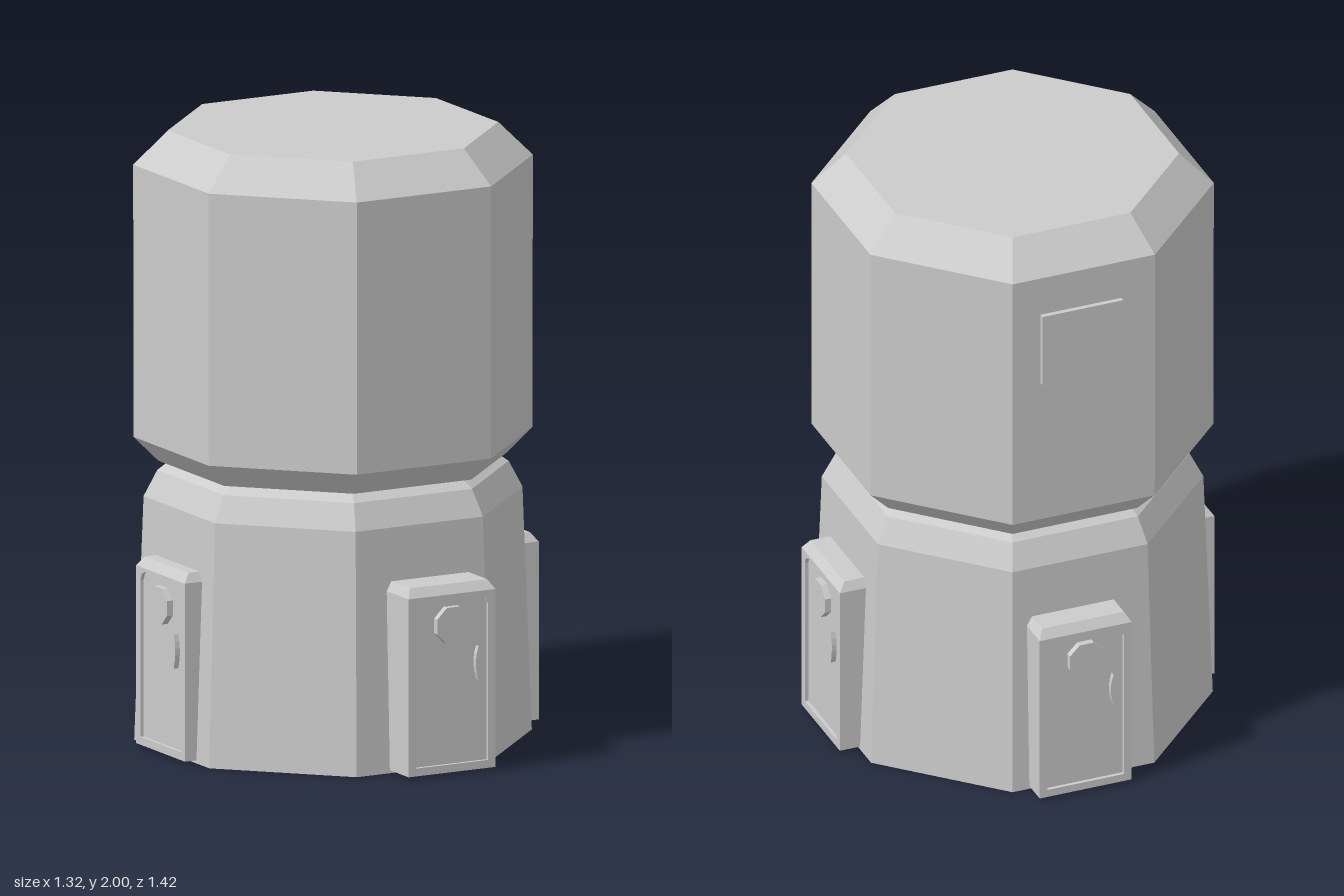
import * as THREE from 'three';

const material = new THREE.MeshStandardMaterial({ color: 0xcccccc, flatShading: true });

function part(parent, name, geometry, x = 0, y = 0, z = 0) {
  const mesh = new THREE.Mesh(geometry, material);
  mesh.name = name;
  mesh.position.set(x, y, z);
  parent.add(mesh);
  return mesh;
}

// Closed octagonal solid from [apothem, height] rings, flat sides facing the axes
function octagonStack(rings) {
  const k = 1 / Math.cos(Math.PI / 8);
  const points = rings.map(([a, y]) => new THREE.Vector2(a * k, y));
  return new THREE.LatheGeometry(points, 8, Math.PI / 8);
}

// Door porch; local z = 0 is the front plane of the frame
const W = 0.32, BOTTOM = 0.01, EAVES = 0.595, TOP = 0.625, DEPTH = 0.22, RECESS = 0.012;

function makeDoor() {
  const door = new THREE.Group();
  const h = EAVES - BOTTOM, mid = (EAVES + BOTTOM) / 2;

  // Solid porch behind the recessed door panel
  part(door, 'doorPanel', new THREE.BoxGeometry(W, h, DEPTH - RECESS), 0, mid, -(DEPTH + RECESS) / 2);

  // Frame around the panel, opening clipped at its top corners
  const frame = new THREE.Shape([[-W / 2, BOTTOM], [W / 2, BOTTOM], [W / 2, EAVES], [-W / 2, EAVES]]
    .map(([x, y]) => new THREE.Vector2(x, y)));
  const w = 0.133, t = 0.583, b = 0.036, c = 0.032;
  frame.holes.push(new THREE.Path([[-w, b], [-w, t - c], [-w + c * 0.3, t - c * 0.3], [-w + c, t],
    [w - c, t], [w - c * 0.3, t - c * 0.3], [w, t - c], [w, b]].map(([x, y]) => new THREE.Vector2(x, y))));
  part(door, 'doorFrame', new THREE.ExtrudeGeometry(frame, { depth: RECESS, bevelEnabled: false }), 0, 0, -RECESS);

  // Roof with bevelled front and sides
  const roof = new THREE.BoxGeometry(W, TOP - EAVES, DEPTH);
  const p = roof.attributes.position;
  for (let i = 0; i < p.count; i++) {
    if (p.getY(i) < 0) continue;
    p.setX(i, p.getX(i) - Math.sign(p.getX(i)) * 0.018);
    if (p.getZ(i) > 0) p.setZ(i, p.getZ(i) - 0.023);
  }
  part(door, 'doorRoof', roof, 0, (TOP + EAVES) / 2, -DEPTH / 2);

  // Octagonal porthole
  const port = new THREE.CylinderGeometry(0.064, 0.064, 0.024, 8, 1, false, Math.PI / 8);
  part(door, 'porthole', port.rotateX(Math.PI / 2), 0, 0.495, -0.002);

  // Lens-shaped handle
  const lens = new THREE.Shape();
  lens.moveTo(0, -0.056);
  lens.quadraticCurveTo(0.02, 0, 0, 0.056);
  lens.quadraticCurveTo(-0.02, 0, 0, -0.056);
  part(door, 'doorHandle',
    new THREE.ExtrudeGeometry(lens, { depth: 0.02, bevelEnabled: false, curveSegments: 5 }), 0.095, 0.36, -0.015);
  return door;
}

export function createModel() {
  const model = new THREE.Group();
  model.name = 'octagonalTower';
  const cx = -0.016, cz = -0.022;

  // Tapered base and wider drum above it
  part(model, 'towerBase', octagonStack([[0, 0], [0.594, 0], [0.566, 0.8], [0.525, 0.885], [0.485, 0.915], [0, 0.915]]), cx, 0, cz);
  part(model, 'upperDrum', octagonStack([[0, 0.915], [0.522, 0.915], [0.596, 0.995], [0.597, 1.89], [0.494, 2], [0, 2]]), cx, 0, cz);

  // One door on each side: name, x, z, turn
  const doors = [
    ['frontDoor', 0.02, 0.695, 0],
    ['leftDoor', 0.648, -0.015, Math.PI / 2],
    ['backDoor', 0.012, -0.702, Math.PI],
    ['rightDoor', -0.652, -0.02, -Math.PI / 2],
  ];
  for (const [name, x, z, turn] of doors) {
    const door = makeDoor();
    door.name = name;
    door.position.set(x, 0, z);
    door.rotation.y = turn;
    model.add(door);
  }

  // Thin plate on the back of the drum
  part(model, 'backPlate', new THREE.BoxGeometry(0.28, 0.255, 0.03), -0.006, 1.628, -0.62);
  return model;
}
